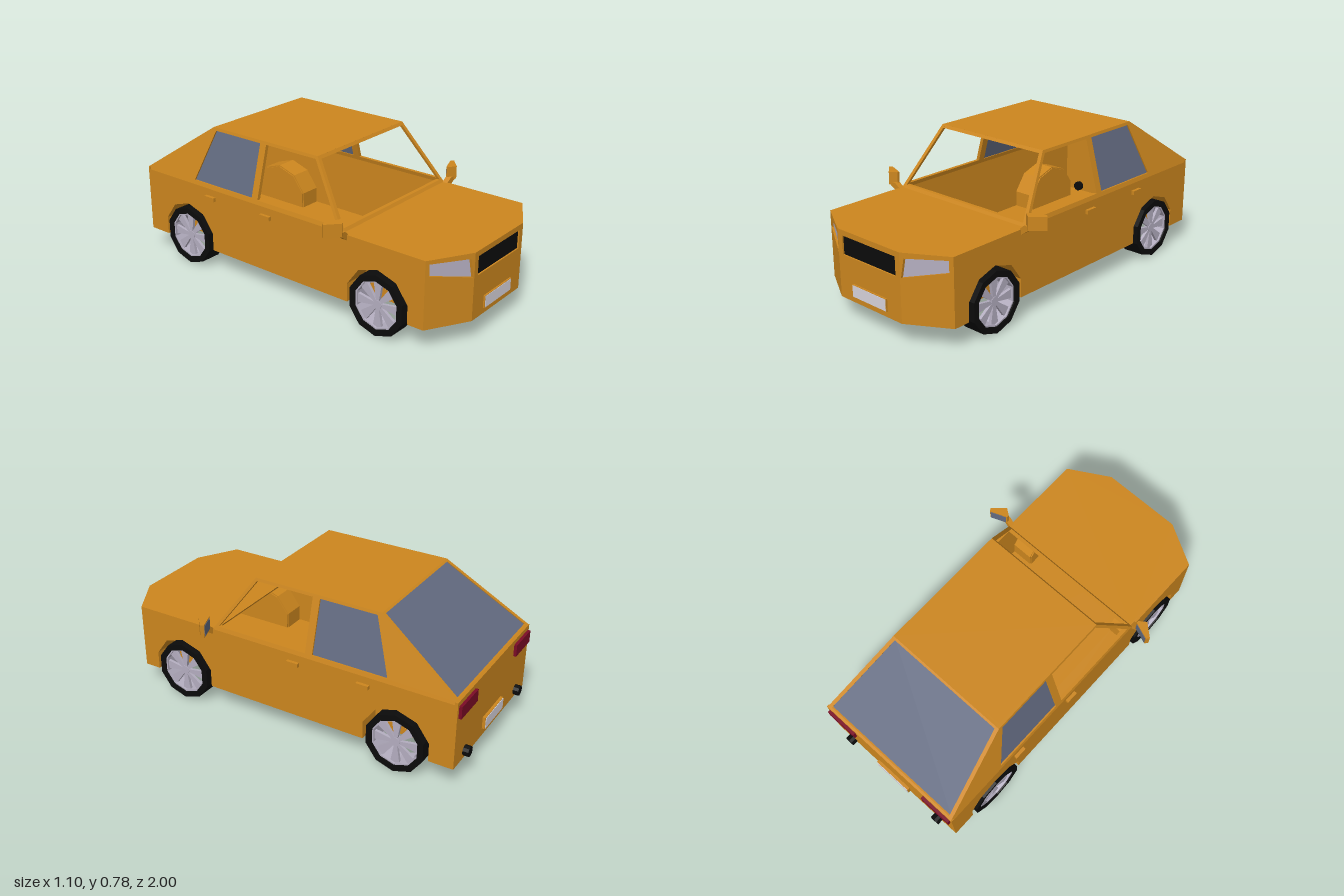
import * as THREE from 'three';

const mat = (color) => new THREE.MeshStandardMaterial({ color, side: THREE.DoubleSide, flatShading: true });
const paint = mat(0xcc861e), glass = mat(0x626a80), black = mat(0x0b0b0b);
const silver = mat(0xb4aec0), white = mat(0xd8d4dc), red = mat(0x7c0c26);

const toVecs = (pts) => pts.map(([u, v]) => new THREE.Vector2(u, v));

export function createModel() {
  const car = new THREE.Group();
  car.name = 'car';

  const add = (name, geometry, material, parent = car) => {
    const mesh = new THREE.Mesh(geometry, material);
    mesh.name = name;
    parent.add(mesh);
    return mesh;
  };
  const box = (name, material, [x0, x1], [y0, y1], [z0, z1], parent) => {
    const g = new THREE.BoxGeometry(Math.abs(x1 - x0), y1 - y0, z1 - z0);
    g.translate((x0 + x1) / 2, (y0 + y1) / 2, (z0 + z1) / 2);
    return add(name, g, material, parent);
  };
  // Flat panel: outline (u, v) with depth w from w0 to w0 + t, placed by a mapping rule
  const panel = (name, material, map, outline, holes = [], w0 = 0, t = 0.015) => {
    const shape = new THREE.Shape(toVecs(outline));
    for (const h of holes) shape.holes.push(new THREE.Path(toVecs(h)));
    const g = new THREE.ExtrudeGeometry(shape, { depth: t, bevelEnabled: false });
    const p = g.attributes.position;
    for (let i = 0; i < p.count; i++) p.setXYZ(i, ...map(p.getX(i), p.getY(i), p.getZ(i) + w0));
    g.computeVertexNormals();
    return add(name, g, material);
  };

  const W = 0.43, FLOOR = 0.125, BELT = 0.475, ROOF = 0.785, TAIL = 0.49;
  const AXLES = [-0.665, 0.595], HUB = 0.165, WELL = 0.3;

  // Wheel arch outline, faceted like the ten-sided wheels
  const arch = (z, r = 0.185) => {
    const e = r * Math.sin(Math.PI * 0.4);
    const pts = [[z - e, FLOOR]];
    for (let k = -2; k <= 2; k++) pts.push([z + r * Math.sin(k * Math.PI / 5), HUB + r * Math.cos(k * Math.PI / 5)]);
    return [...pts, [z + e, FLOOR]];
  };

  // Placement rules for the planes of the body
  const flat = (y) => (u, v, w) => [u, y - w, v];
  const sideWall = (s) => (u, v, w) => [s * (W - w), v, u];
  const cabinSide = (s) => (u, v, w) => [s * (W - (v - BELT) * 0.274 - w), v, u];
  const facet = (s) => (u, v, w) => [s * u, v, 0.985 - (u - 0.215) * 0.581 - w];
  const nose = (u, v, w) => [u, v, 0.985 - w];
  const screen = (u, v, w) => [u, v, 0.39 - (v - BELT) * 0.71 - w];
  const hatch = (u, v, w) => [u, v, -0.97 + (v - TAIL) * 1.49 + w];
  const trapezoid = (a, y0, b, y1) => [[-a, y0], [a, y0], [b, y1], [-b, y1]];

  // Floor with notches for the wheels, bonnet, roof, tail
  const e = 0.176;
  const notch = (z, s) => [[s * W, z - s * e], [s * WELL, z - s * e], [s * WELL, z + s * e], [s * W, z + s * e]];
  panel('floor', paint, flat(FLOOR + 0.012), [
    [-W, -0.97], [W, -0.97], ...notch(AXLES[0], 1), ...notch(AXLES[1], 1), [W, 0.86], [0.215, 0.985],
    [-0.215, 0.985], [-W, 0.86], ...notch(AXLES[1], -1), ...notch(AXLES[0], -1)], [], 0, 0.012);
  panel('bonnet', paint, flat(BELT), [[-W, 0.385], [W, 0.385], [W, 0.86], [0.215, 0.985], [-0.215, 0.985], [-W, 0.86]]);
  box('roof', paint, [-0.345, 0.345], [ROOF - 0.015, ROOF], [-0.53, 0.17]);
  box('tailPanel', paint, [-W, W], [FLOOR, TAIL], [-0.97, -0.955]);

  // Nose with recessed grille
  const grille = trapezoid(0.185, 0.35, 0.185, 0.447);
  panel('nosePanel', paint, nose, trapezoid(0.215, FLOOR, 0.215, BELT), [grille]);
  panel('grille', black, nose, grille, [], 0.008, 0.008);

  // Open windscreen frame, and tailgate with its window
  panel('windscreenFrame', paint, screen, trapezoid(W, BELT, 0.345, ROOF), [trapezoid(0.408, 0.49, 0.33, 0.77)], 0, 0.02);
  const rearPane = trapezoid(0.41, 0.498, 0.335, 0.778);
  panel('tailgateFrame', paint, hatch, trapezoid(0.426, TAIL, 0.345, ROOF), [rearPane], 0, 0.02);
  panel('rearWindow', glass, hatch, rearPane, [], 0.008, 0.008);

  // Number plates
  box('frontPlateHolder', paint, [-0.12, 0.12], [0.155, 0.22], [0.98, 0.993]);
  box('frontPlate', white, [-0.116, 0.116], [0.158, 0.217], [0.99, 0.995]);
  box('rearPlateHolder', paint, [-0.11, 0.11], [0.168, 0.232], [-0.985, -0.965]);
  box('rearPlate', white, [-0.106, 0.106], [0.171, 0.229], [-0.988, -0.98]);

  for (const s of [1, -1]) {
    // Lower side with wheel arches
    panel('bodySide', paint, sideWall(s), [[-0.97, FLOOR], ...arch(AXLES[0]), ...arch(AXLES[1]),
      [0.86, FLOOR], [0.86, BELT], [-0.97, BELT]]);

    // Cabin side: open front window, glazed rear window
    const frontOpening = [[0.362, 0.497], [0.165, 0.77], [-0.16, 0.77], [-0.16, 0.497]];
    const rearOpening = [[-0.2, 0.497], [-0.2, 0.77], [-0.51, 0.77], [-0.61, 0.497]];
    panel('cabinSide', paint, cabinSide(s), [[0.39, BELT], [0.17, ROOF], [-0.53, ROOF], [-0.97, TAIL], [-0.97, BELT]],
      [frontOpening, rearOpening], 0, 0.02);
    panel('sideWindow', glass, cabinSide(s), rearOpening, [], 0.008, 0.006);

    // Angled front corner with recessed headlight
    const lamp = [[0.412, 0.455], [0.232, 0.447], [0.215 + 0.004, 0.352], [0.412, 0.395]];
    panel('frontCorner', paint, facet(s), [[0.215, FLOOR], [W, FLOOR], [W, BELT], [0.215, BELT]], [lamp], 0, 0.02);
    panel('headlight', silver, facet(s), lamp, [], 0.012, 0.006);

    // Tail light and exhaust
    box('tailLight', red, [s * 0.235, s * 0.415], [0.4, 0.465], [-0.985, -0.965]);
    const pipe = new THREE.CylinderGeometry(0.027, 0.027, 0.07, 10);
    pipe.rotateX(Math.PI / 2);
    add('exhaust', pipe, black).position.set(s * 0.31, 0.165, -0.965);

    // Door handles
    for (const z of [-0.097, -0.487])
      box('doorHandle', paint, [s * 0.425, s * 0.447], [0.416, 0.437], [z - 0.033, z + 0.033]);

    // Wing mirror: angled housing, glass on its rear, short rising arm
    const plan = (u, v, w) => [s * u, 0.485 + w, v];
    panel('mirrorHousing', paint, plan,
      [[0.447, 0.405], [0.484, 0.432], [0.55, 0.373], [0.538, 0.357], [0.447, 0.392]], [], 0, 0.07);
    panel('mirrorGlass', glass, plan, [[0.453, 0.391], [0.534, 0.3595], [0.533, 0.356], [0.452, 0.3875]], [], 0.006, 0.058);
    panel('mirrorArm', paint, (u, v, w) => [s * u, v, 0.388 + w + (u - 0.42) * 0.1],
      [[0.42, 0.475], [0.43, 0.447], [0.484, 0.485], [0.484, 0.5], [0.45, 0.5]].slice(0).map(([u, v]) => [u, v]), [], 0, 0.03);

    for (const z of AXLES) {
      // Wheel well: faceted liner and inner wall
      panel('wheelWellLiner', paint, sideWall(s), [...arch(z, 0.192), ...arch(z).reverse()], [], 0.002, W - WELL);
      panel('wheelWellWall', paint, sideWall(s), arch(z), [], W - WELL, 0.008);

      // Wheel: axis along x, ten sides
      const wheel = new THREE.Group();
      wheel.name = 'wheel';
      wheel.position.set(s * 0.38, HUB, z);
      wheel.rotation.y = s > 0 ? 0 : Math.PI;
      car.add(wheel);
      const ring = (name, material, rIn, rOut, x0, x1) => {
        const g = new THREE.LatheGeometry(
          toVecs([[rIn, -x1], [rOut, -x1], [rOut, -x0], [rIn, -x0], [rIn, -x1]]), 10, Math.PI / 2);
        add(name, g.rotateZ(Math.PI / 2), material, wheel);
      };
      ring('tyre', black, 0.128, 0.16, -0.06, 0.06);
      ring('rim', silver, 0.12, 0.129, -0.055, 0.052);
      const hub = new THREE.CylinderGeometry(0.024, 0.024, 0.03, 10);
      add('hub', hub.rotateZ(Math.PI / 2), silver, wheel).position.x = 0.03;
      // Spokes widen toward the rim
      const spoke = new THREE.ExtrudeGeometry(
        new THREE.Shape(toVecs([[-0.007, 0.012], [0.007, 0.012], [0.025, 0.122], [-0.025, 0.122]])),
        { depth: 0.016, bevelEnabled: false });
      spoke.rotateY(Math.PI / 2).translate(0.026, 0, 0);
      for (let k = 0; k < 8; k++) add('spoke', spoke, silver, wheel).rotation.x = k * Math.PI / 4;
    }
  }
  return car;
}
